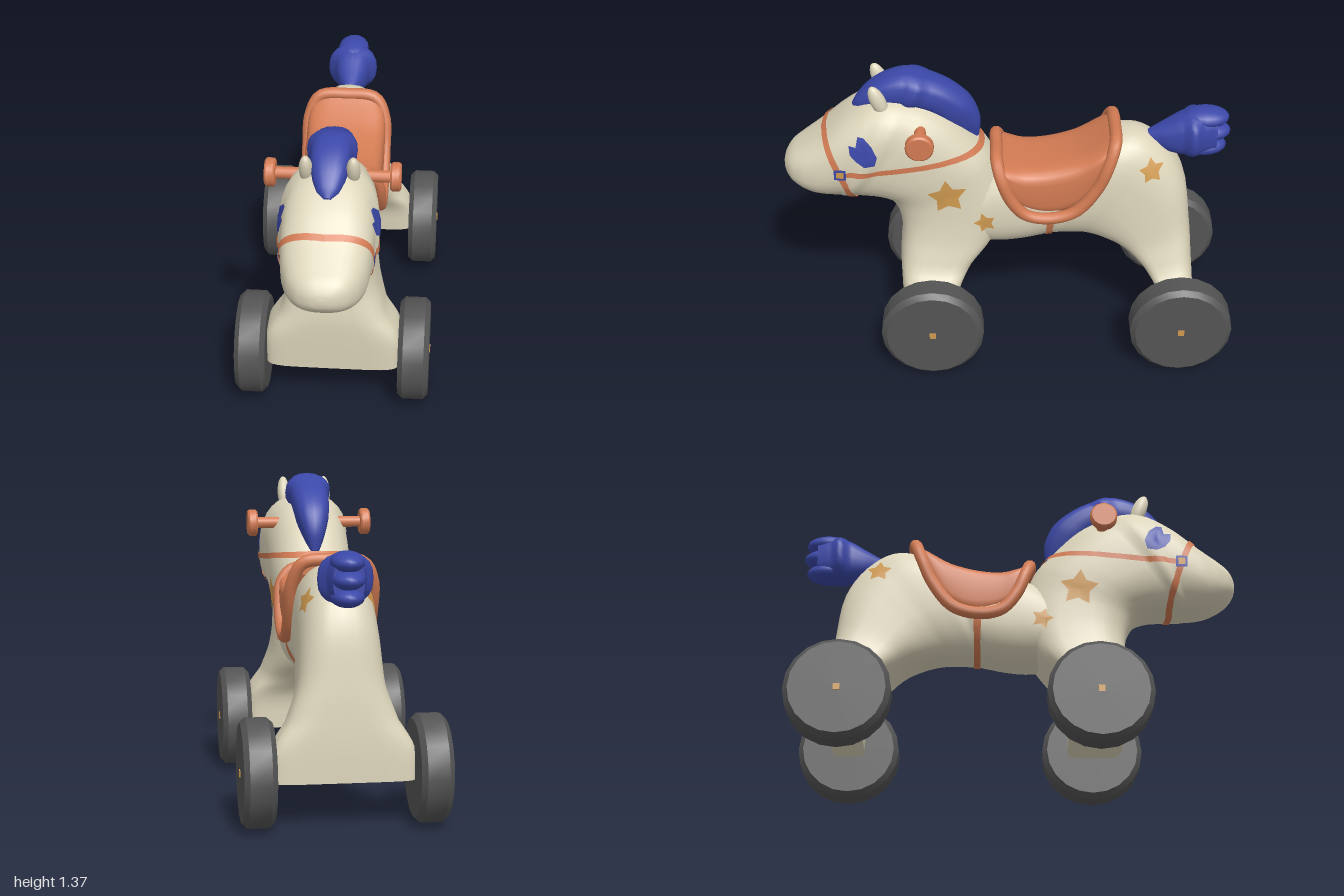
import * as THREE from 'three';
import { toCreasedNormals } from 'three/addons/utils/BufferGeometryUtils.js';

const paint = (name, color) => new THREE.MeshStandardMaterial({ name, color, side: THREE.DoubleSide });
const V = (x, y, z) => new THREE.Vector3(x, y, z);

// Smooth loft through sections [topZ, topY, bottomZ, bottomY, halfWidth, squareness]
function loft(sections, segs = 32) {
  const tops = new THREE.CatmullRomCurve3(sections.map(s => V(0, s[1], s[0])));
  const lows = new THREE.CatmullRomCurve3(sections.map(s => V(0, s[3], s[2])));
  const dims = new THREE.CatmullRomCurve3(sections.map(s => V(s[4], s[5] ?? 2.5, 0)));
  const steps = (sections.length - 1) * 4, pos = [], index = [];
  const pow = (v, p) => Math.sign(v) * Math.abs(v) ** (2 / p);
  const ring = t => {
    const a = tops.getPoint(t), b = lows.getPoint(t), d = dims.getPoint(t);
    const mid = a.clone().add(b).multiplyScalar(0.5), half = a.sub(b).multiplyScalar(0.5);
    for (let j = 0; j < segs; j++) {
      const w = j / segs * Math.PI * 2;
      const p = mid.clone().addScaledVector(half, pow(Math.sin(w), d.y));
      pos.push(d.x * pow(Math.cos(w), d.y), p.y, p.z);
    }
    return mid;
  };
  for (let i = 0; i <= steps; i++) ring(i / steps);
  for (let i = 0; i < steps; i++) for (let j = 0; j < segs; j++) {
    const a = i * segs + j, b = i * segs + (j + 1) % segs;
    index.push(a, b, b + segs, a, b + segs, a + segs);
  }
  // flat end caps with their own corners
  for (const end of [0, 1]) {
    const base = pos.length / 3, mid = ring(end), c = base + segs;
    pos.push(mid.x, mid.y, mid.z);
    for (let j = 0; j < segs; j++) {
      const a = base + j, b = base + (j + 1) % segs;
      if (end) index.push(c, a, b); else index.push(c, b, a);
    }
  }
  return surface(pos, index);
}

function surface(pos, index) {
  const g = new THREE.BufferGeometry();
  g.setAttribute('position', new THREE.Float32BufferAttribute(pos, 3));
  g.setIndex(index);
  g.computeVertexNormals();
  return g;
}

// Disc along x with bevelled edges
function disc(r, half, bevel, segs) {
  const pts = [[0, -half], [r - bevel, -half], [r, bevel - half], [r, half - bevel], [r - bevel, half], [0, half]];
  const g = new THREE.LatheGeometry(pts.map(p => new THREE.Vector2(...p)), segs);
  return toCreasedNormals(g.rotateZ(Math.PI / 2), 0.6);
}

export function createModel() {
  const model = new THREE.Group();
  model.name = 'rideOnHorse';
  const cream = paint('cream', 0xddd5bb), orange = paint('orange', 0xd27b53), blue = paint('blue', 0x3b48a8);
  const grey = paint('darkGrey', 0x545454), tan = paint('tan', 0xcf9a50);
  const add = (name, geo, mat, x = 0, y = 0, z = 0) => {
    const m = new THREE.Mesh(geo, mat);
    m.name = name;
    m.position.set(x, y, z);
    model.add(m);
    return m;
  };

  // Front legs, neck and head in one sweep
  const front = add('frontLegsNeckHead', loft([
    [0.23, 0.19, 0.48, 0.19, 0.3, 6], [0.22, 0.34, 0.49, 0.34, 0.3, 5],
    [0.16, 0.43, 0.495, 0.46, 0.235, 3.5], [0.06, 0.55, 0.485, 0.58, 0.198, 3],
    [0.01, 0.72, 0.5, 0.67, 0.183, 2.7], [0.07, 0.95, 0.54, 0.735, 0.186],
    [0.15, 1.05, 0.6, 0.76, 0.192], [0.27, 1.17, 0.67, 0.765, 0.196],
    [0.4, 1.24, 0.72, 0.765, 0.198], [0.55, 1.265, 0.765, 0.767, 0.198],
    [0.7, 1.19, 0.81, 0.772, 0.192], [0.82, 1.09, 0.865, 0.785, 0.178],
    [0.91, 1.025, 0.92, 0.81, 0.15], [0.965, 0.985, 0.965, 0.84, 0.11],
    [0.993, 0.945, 0.993, 0.875, 0.055], [1.0, 0.92, 1.0, 0.9, 0.015]]), cream);

  // Back legs, rump and torso in one sweep
  const rear = add('backLegsRumpTorso', loft([
    [-0.84, 0.19, -0.69, 0.19, 0.3, 6], [-0.84, 0.32, -0.67, 0.32, 0.3, 5],
    [-0.835, 0.45, -0.6, 0.41, 0.235, 3.5], [-0.82, 0.62, -0.5, 0.485, 0.188, 3],
    [-0.785, 0.84, -0.4, 0.52, 0.175, 2.7], [-0.7, 0.98, -0.33, 0.53, 0.17],
    [-0.58, 1.06, -0.27, 0.53, 0.17], [-0.45, 1.05, -0.2, 0.53, 0.17],
    [-0.3, 0.95, -0.14, 0.525, 0.17], [-0.12, 0.91, -0.06, 0.51, 0.175],
    [0.05, 0.91, 0.04, 0.5, 0.178], [0.2, 0.8, 0.2, 0.52, 0.165]]), cream);

  // Finds the point on the body under a ray, raised slightly
  const caster = new THREE.Raycaster();
  const onBody = (origin, dir, lift) => {
    caster.set(origin, dir);
    const hit = caster.intersectObjects([front, rear], false)[0];
    return hit ? hit.point.clone().addScaledVector(hit.face.normal, lift) : origin.clone().addScaledVector(dir, 0.83);
  };

  // Painted patch on one flank: outline of [z, y] around a centre
  const patch = (name, cz, cy, outline, mat, lift = 0.005) => {
    for (const side of [1, -1]) {
      const pos = [], index = [], n = outline.length, rings = 4;
      for (let r = 0; r <= rings; r++) for (const [z, y] of outline) {
        const k = r / rings;
        pos.push(...onBody(V(side, cy + (y - cy) * k, cz + (z - cz) * k), V(-side, 0, 0), lift).toArray());
      }
      for (let r = 0; r < rings; r++) for (let j = 0; j < n; j++) {
        const a = r * n + j, b = r * n + (j + 1) % n;
        if (r) index.push(a, b, b + n);
        index.push(a, b + n, a + n);
      }
      // outline order decides which way the faces turn; keep them outward
      const area = outline.reduce((s, p, i) => s + p[0] * outline[(i + 1) % n][1] - outline[(i + 1) % n][0] * p[1], 0);
      if (area * side < 0 === false) index.reverse();
      add(name, surface(pos, index), mat);
    }
  };

  // Strap laid over the body along a list of [origin, direction, halfWidthVector]
  const strap = (name, rays) => {
    const pos = [], index = [];
    rays.forEach(([o, d, w], i) => {
      for (const s of [1, -1]) pos.push(...onBody(o.clone().addScaledVector(w, s), d, 0.006).toArray());
      if (i) index.push(2 * i - 2, 2 * i - 1, 2 * i + 1, 2 * i - 2, 2 * i + 1, 2 * i);
    });
    add(name, surface(pos, index), orange);
  };

  // Muzzle strap
  const up = V(0, 0.94, 0.34), across = V(0, -0.34, 0.94).multiplyScalar(0.014);
  strap('muzzleStrap', Array.from({ length: 65 }, (_, i) => {
    const a = i / 64 * Math.PI * 2, d = up.clone().multiplyScalar(Math.cos(a)).add(V(Math.sin(a), 0, 0));
    const c = V(0, 0.93, 0.752 - 0.018 * Math.abs(Math.sin(a)));
    return [c.addScaledVector(d, 0.6), d.clone().negate(), across];
  }));

  // Rein along both cheeks and round the back of the neck
  const tall = V(0, 0.013, 0), rein = [];
  const cheek = (side, k) => rein.push([V(side, 0.955 + 0.05 * k ** 1.4, 0.74 - 0.49 * k), V(-side, 0, 0), tall]);
  for (let i = 0; i <= 24; i++) cheek(1, i / 24);
  for (let i = 1; i < 32; i++) {
    const a = i / 32 * Math.PI, d = V(Math.cos(a), 0, -Math.sin(a));
    rein.push([V(0, 1.005 + 0.015 * Math.sin(a), 0.25).addScaledVector(d, 0.6), d.clone().negate(), tall]);
  }
  for (let i = 24; i >= 0; i--) cheek(-1, i / 24);
  strap('rein', rein);

  // Girth strap under the belly
  strap('girthStrap', Array.from({ length: 41 }, (_, i) => {
    const a = i / 40 * Math.PI, d = V(Math.cos(a), -Math.sin(a), 0);
    return [V(0, 0.72, -0.18).addScaledVector(d, 0.5), d.clone().negate(), V(0, 0, 0.015)];
  }));

  // Eyes, bridle rings and stars
  patch('eye', 0.635, 1.07, [[0.695, 1.1], [0.665, 1.095], [0.655, 1.14], [0.63, 1.138], [0.595, 1.105],
    [0.575, 1.055], [0.587, 1.012], [0.63, 1.005], [0.667, 1.028], [0.692, 1.06]], blue);
  const square = h => [[1, 1], [-1, 1], [-1, -1], [1, -1]].map(([a, b]) => [0.74 + a * h, 0.957 + b * h]);
  patch('bridleRing', 0.74, 0.957, square(0.026), blue, 0.008);
  patch('bridleRingCentre', 0.74, 0.957, square(0.016), tan, 0.0095);
  for (const [z, y, r, turn] of [[0.275, 0.825, 0.09, 0.1], [0.11, 0.675, 0.052, 0.3], [-0.627, 0.92, 0.058, 0.1]]) {
    const star = Array.from({ length: 10 }, (_, i) => {
      const a = i / 5 * Math.PI + turn, k = i % 2 ? r * 0.55 : r;
      return [z + k * Math.sin(a), y + k * Math.cos(a)];
    });
    patch('star', z, y, star, tan);
  }

  // Saddle seat with a rolled rim
  add('saddleSeat', loft([
    [-0.465, 1.075, -0.465, 1.0, 0.15, 3], [-0.4, 1.03, -0.4, 0.88, 0.178, 3.5],
    [-0.3, 0.975, -0.3, 0.73, 0.182, 4], [-0.18, 0.942, -0.18, 0.69, 0.182, 4],
    [-0.07, 0.932, -0.07, 0.72, 0.182, 4], [0, 0.945, 0, 0.8, 0.182, 4], [0.05, 0.965, 0.05, 0.9, 0.17, 3.5]]), orange);
  const half = [[0.12, 0.965, 0.055], [0.17, 0.9, 0.035], [0.18, 0.8, -0.005], [0.18, 0.72, -0.07], [0.18, 0.697, -0.17],
    [0.18, 0.73, -0.29], [0.18, 0.85, -0.385], [0.175, 0.97, -0.435], [0.13, 1.06, -0.465]];
  const rimPath = [[0, 0.975, 0.055], ...half, [0, 1.073, -0.47], ...half.map(([x, y, z]) => [-x, y, z]).reverse()];
  add('saddleRim', new THREE.TubeGeometry(
    new THREE.CatmullRomCurve3(rimPath.map(p => V(...p)), true), 96, 0.028, 10, true), orange);

  // Mane
  add('mane', loft([
    [0.13, 1.04, 0.17, 1.02, 0.02], [0.125, 1.13, 0.25, 1.07, 0.05], [0.165, 1.225, 0.3, 1.13, 0.075],
    [0.25, 1.3, 0.36, 1.18, 0.086], [0.34, 1.345, 0.42, 1.2, 0.09], [0.43, 1.372, 0.48, 1.21, 0.09],
    [0.52, 1.355, 0.53, 1.21, 0.084], [0.6, 1.31, 0.6, 1.2, 0.07], [0.66, 1.25, 0.65, 1.18, 0.045],
    [0.685, 1.21, 0.675, 1.18, 0.015]], 20), blue);

  // Tail with three locks at the tip
  add('tail', loft([
    [-0.92, 1.13, -0.92, 0.95, 0.065], [-0.85, 1.148, -0.85, 0.935, 0.085], [-0.78, 1.135, -0.78, 0.935, 0.085],
    [-0.7, 1.09, -0.71, 0.95, 0.065], [-0.61, 1.04, -0.64, 0.98, 0.03]], 20), blue);
  for (const [y, z] of [[1.115, -0.87], [1.045, -0.88], [0.972, -0.865]]) {
    add('tailLock', new THREE.SphereGeometry(1, 16, 12).scale(0.072, 0.044, 0.105), blue, 0, y, z);
  }

  // Handlebar
  add('handlebar', new THREE.CylinderGeometry(0.026, 0.026, 0.5, 14).rotateZ(Math.PI / 2), orange, 0, 1.145, 0.387);

  for (const side of [1, -1]) {
    add('handleKnob', disc(0.062, 0.023, 0.008, 18), orange, side * 0.266, 1.145, 0.387);
    // Ears
    const ear = add('ear', new THREE.SphereGeometry(1, 14, 12).scale(0.029, 0.078, 0.034), cream, side * 0.098, 1.272, 0.565);
    ear.rotation.x = 0.38;
    // Wheels with axle ends
    for (const z of [0.35, -0.77]) {
      add('wheel', disc(0.23, 0.068, 0.022, 20), grey, side * 0.362, 0.23, z);
      add('axleEnd', new THREE.BoxGeometry(0.008, 0.028, 0.028), tan, side * 0.43, 0.23, z);
    }
  }
  return model;
}
